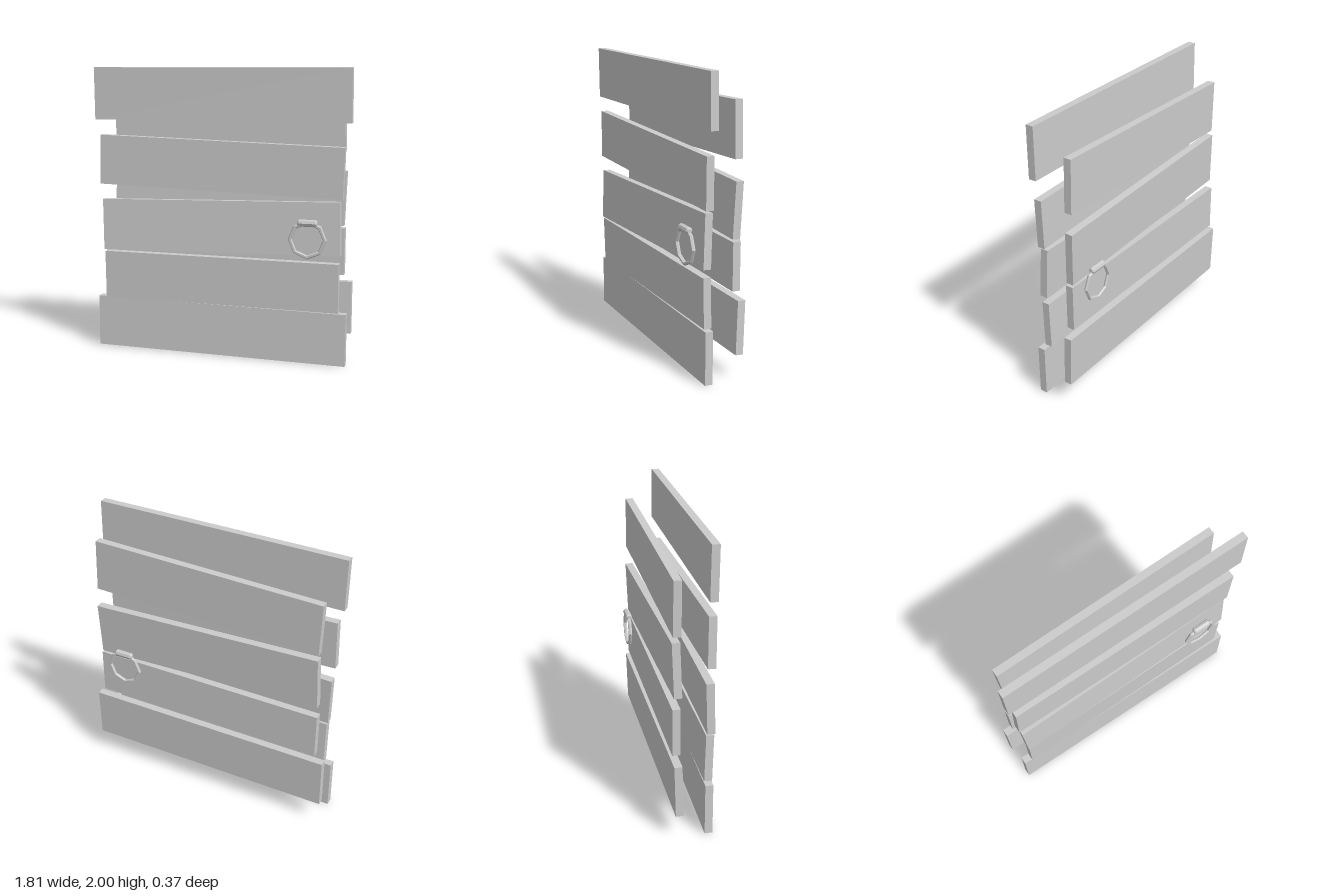
import * as THREE from 'three';

const material = new THREE.MeshStandardMaterial({ color: 0xcccccc, flatShading: true });

// x, y, z: centre; w, h: size; lean, yaw, tilt: small rotations about x, y, z
const frontPlanks = [
  { x: 0, y: 1.815, z: 0.107, w: 1.8, h: 0.36, lean: 0.01, yaw: 0, tilt: 0.005 },
  { x: -0.005, y: 1.33, z: 0.108, w: 1.72, h: 0.345, lean: 0.01, yaw: 0, tilt: -0.026 },
  { x: -0.007, y: 0.913, z: 0.109, w: 1.685, h: 0.36, lean: -0.04, yaw: 0, tilt: 0.027 },
  { x: -0.005, y: 0.53, z: 0.107, w: 1.67, h: 0.34, lean: 0.025, yaw: 0, tilt: 0 },
  { x: -0.007, y: 0.184, z: 0.108, w: 1.785, h: 0.36, lean: 0, yaw: -0.013, tilt: -0.003 },
];
const backPlanks = [
  { x: -0.003, y: 1.6, z: -0.104, w: 1.655, h: 0.37, lean: 0, yaw: 0, tilt: 0.03 },
  { x: 0, y: 1.14, z: -0.104, w: 1.665, h: 0.375, lean: -0.035, yaw: 0, tilt: -0.033 },
  { x: -0.007, y: 0.747, z: -0.104, w: 1.68, h: 0.325, lean: 0, yaw: -0.008, tilt: 0 },
  { x: -0.01, y: 0.35, z: -0.104, w: 1.79, h: 0.365, lean: -0.03, yaw: 0, tilt: 0.003 },
];

function addPlanks(parent, name, planks) {
  const row = new THREE.Group();
  row.name = name;
  planks.forEach((p, i) => {
    const plank = new THREE.Mesh(new THREE.BoxGeometry(p.w, p.h, 0.053), material);
    plank.name = `${name}Board${i + 1}`;
    plank.position.set(p.x, p.y, p.z);
    plank.rotation.set(p.lean, p.yaw, p.tilt);
    row.add(plank);
  });
  parent.add(row);
}

function addHandle(parent, name, z) {
  const handle = new THREE.Group();
  handle.name = name;
  // Eight-sided pull ring
  const ring = new THREE.Mesh(new THREE.TorusGeometry(0.119, 0.014, 6, 8), material);
  ring.name = 'pullRing';
  // Short bar with chamfered ends that holds the ring
  const profile = [[0, -0.067], [0.015, -0.067], [0.024, -0.057],
    [0.024, 0.057], [0.015, 0.067], [0, 0.067]].map(([r, y]) => new THREE.Vector2(r, y));
  const bar = new THREE.Mesh(new THREE.LatheGeometry(profile, 8), material);
  bar.name = 'ringHolder';
  bar.rotation.z = Math.PI / 2;
  bar.position.y = 0.112;
  handle.add(ring, bar);
  handle.position.set(0.622, 0.862, z);
  parent.add(handle);
}

export function createModel() {
  const door = new THREE.Group();
  door.name = 'plankDoor';
  addPlanks(door, 'frontPlanks', frontPlanks);
  addPlanks(door, 'backPlanks', backPlanks);
  addHandle(door, 'frontHandle', 0.163);
  addHandle(door, 'backHandle', -0.163);
  return door;
}
